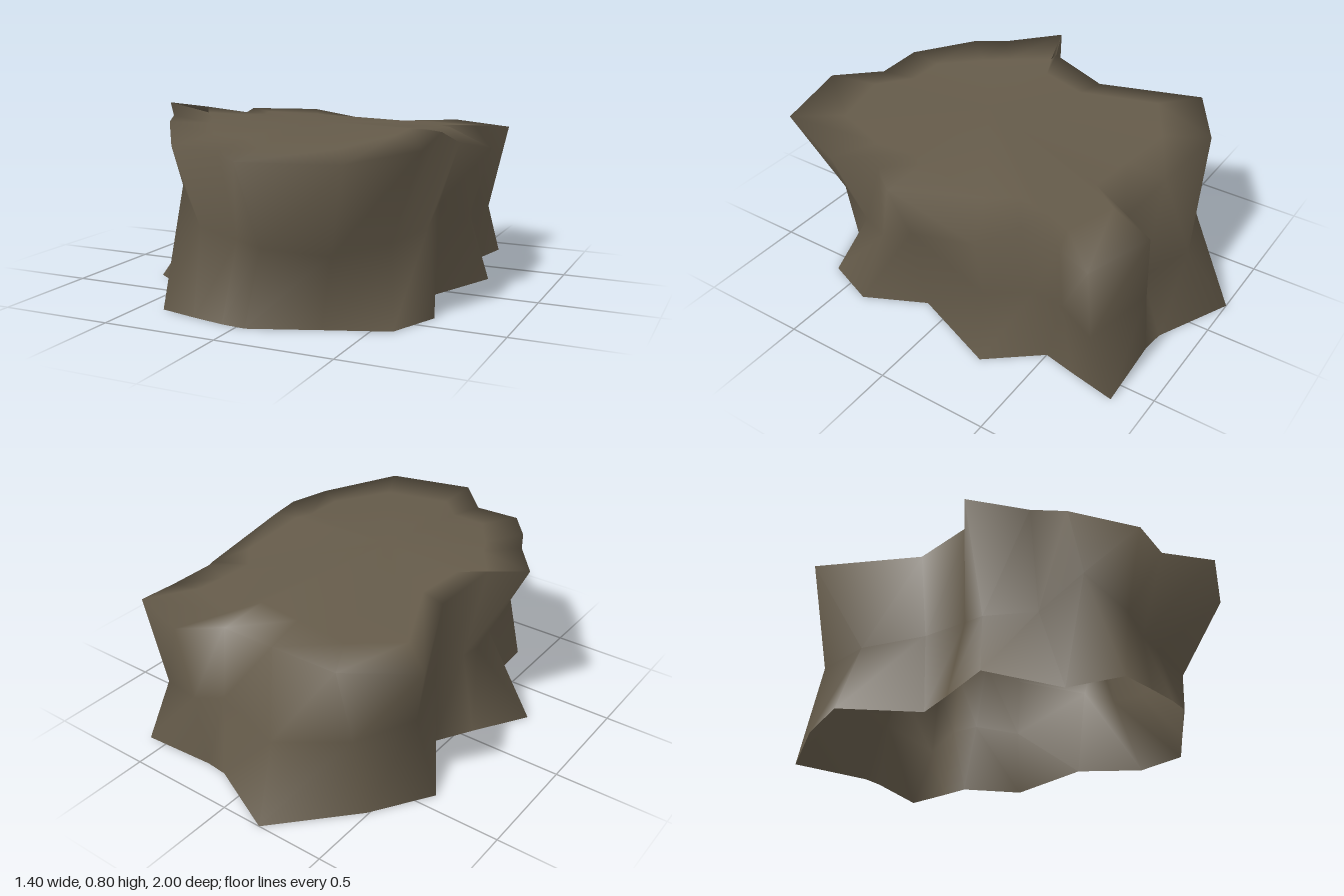
import * as THREE from 'three';

// One entry per vertical column, counter-clockwise from the front left:
// foot x, foot z, rim x, rim y, rim z, waist pinch, waist height
const COLUMNS = [
  [-0.39, 0.75, -0.46, 0.76, 0.56, 0.90, 0.50],
  [-0.22, 0.79, -0.29, 0.70, 0.81, 0.89, 0.36],
  [-0.07, 0.82, -0.07, 0.69, 0.82, 0.86, 0.32],
  [0.04, 0.83, 0.10, 0.69, 1.00, 0.79, 0.30],
  [0.32, 0.72, 0.49, 0.69, 0.90, 0.90, 0.30],
  [0.58, 0.62, 0.65, 0.70, 0.51, 0.83, 0.31],
  [0.67, 0.39, 0.64, 0.74, 0.25, 0.92, 0.35],
  [0.54, 0.12, 0.69, 0.69, 0.17, 0.97, 0.42],
  [0.70, -0.28, 0.70, 0.61, -0.27, 0.87, 0.28],
  [0.52, -0.50, 0.58, 0.69, -0.41, 0.97, 0.33],
  [0.55, -0.64, 0.61, 0.67, -0.60, 0.94, 0.33],
  [0.59, -0.85, 0.65, 0.65, -0.75, 0.91, 0.25],
  [0.25, -0.83, 0.35, 0.66, -0.85, 0.99, 0.33],
  [0.15, -0.84, 0.24, 0.62, -0.68, 1.00, 0.33],
  [-0.19, -1.00, -0.05, 0.65, -0.71, 0.96, 0.28],
  [-0.49, -0.68, -0.40, 0.69, -0.75, 0.95, 0.33],
  [-0.66, -0.42, -0.68, 0.70, -0.57, 0.80, 0.32],
  [-0.45, -0.12, -0.48, 0.73, -0.14, 0.97, 0.35],
  [-0.55, 0.05, -0.53, 0.78, 0.13, 0.86, 0.36],
  [-0.70, 0.29, -0.69, 0.80, 0.20, 0.69, 0.36],
  [-0.40, 0.50, -0.53, 0.77, 0.42, 0.83, 0.37],
];

// Height of the top, a low ridge running from left to right
const topHeight = (x, z) => 0.755 - 0.09 * Math.abs(z - 0.25) - 0.02 * x;

// Cross-sections from the ground up to the inner ring of the top
const RINGS = [
  ([bx, bz]) => [bx, 0, bz],
  ([bx, bz, tx, , tz, pinch, y]) => [(bx + tx) / 2 * pinch, y, (bz + tz) / 2 * pinch],
  ([, , tx, ty, tz]) => [tx, ty, tz],
  ([, , tx, , tz]) => [tx * 0.75, topHeight(tx * 0.75, tz * 0.75), tz * 0.75],
];

function rockGeometry() {
  const n = COLUMNS.length;
  const positions = RINGS.flatMap((ring) => COLUMNS.flatMap(ring));
  positions.push(0, topHeight(0, 0.15), 0.15);
  const index = [];
  for (let i = 0; i < n; i++) {
    const j = (i + 1) % n;
    // walls and outer part of the top
    for (let r = 0; r < RINGS.length - 1; r++) {
      const a = r * n + i, b = r * n + j, c = b + n, d = a + n;
      index.push(a, b, c, a, c, d);
    }
    // middle of the top
    const last = (RINGS.length - 1) * n;
    index.push(last + i, last + j, RINGS.length * n);
  }
  const geometry = new THREE.BufferGeometry();
  geometry.setAttribute('position', new THREE.Float32BufferAttribute(positions, 3));
  geometry.setIndex(index);
  geometry.computeVertexNormals();
  return geometry;
}

export function createModel() {
  const group = new THREE.Group();
  group.name = 'rock';
  // The shell is open underneath
  const stone = new THREE.MeshStandardMaterial({ color: 0x655b4a, side: THREE.DoubleSide });
  stone.name = 'brown stone';
  const shell = new THREE.Mesh(rockGeometry(), stone);
  shell.name = 'rockShell';
  group.add(shell);
  return group;
}
